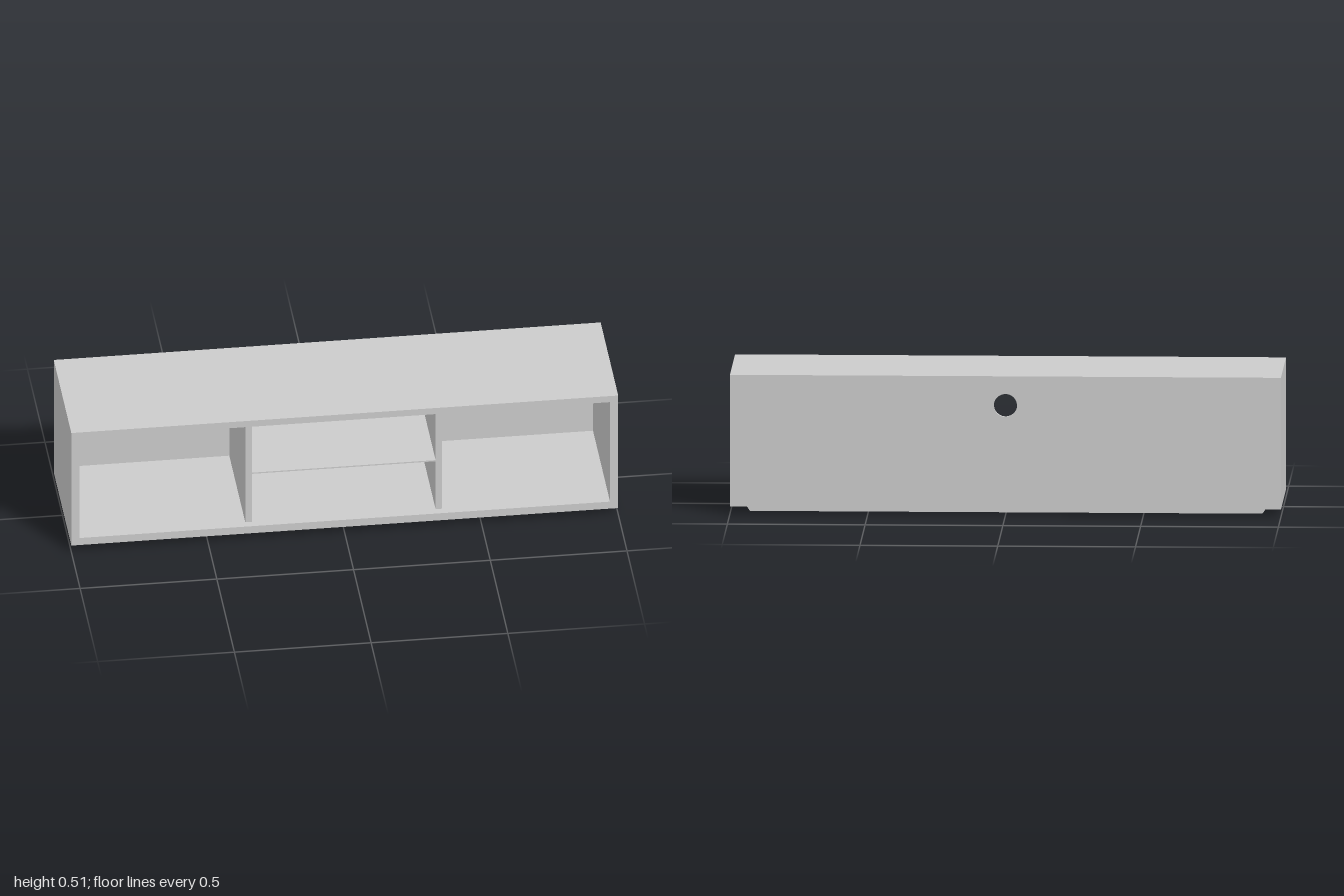
import * as THREE from 'three';

const material = new THREE.MeshStandardMaterial({ color: 0xcccccc });

function rectPath(path, x0, y0, x1, y1) {
  path.moveTo(x0, y0);
  path.lineTo(x1, y0);
  path.lineTo(x1, y1);
  path.lineTo(x0, y1);
  path.closePath();
  return path;
}

export function createModel() {
  const group = new THREE.Group();
  const bottom = 0.027, top = 0.51;          // outer carcass heights
  const inX = 0.97, inY0 = 0.057, inY1 = 0.484; // inner opening
  const front = 0.25, back = -0.25, backInner = -0.235, recess = 0.22;

  const add = (name, geometry, x = 0, y = 0, z = 0) => {
    const mesh = new THREE.Mesh(geometry, material);
    mesh.name = name;
    mesh.position.set(x, y, z);
    group.add(mesh);
  };
  const extrude = (shape, depth) =>
    new THREE.ExtrudeGeometry(shape, { depth, bevelEnabled: false, curveSegments: 24 });

  // Outer carcass: one rectangular tube, open at the front
  const frame = rectPath(new THREE.Shape(), -1, bottom, 1, top);
  frame.holes.push(rectPath(new THREE.Path(), -inX, inY0, inX, inY1));
  add('carcass', extrude(frame, front - back), 0, 0, back);

  // Back panel with round cable hole
  const panel = rectPath(new THREE.Shape(), -inX, inY0, inX, inY1);
  panel.holes.push(new THREE.Path().absarc(0, 0.403, 0.042, 0, Math.PI * 2, true));
  add('backPanel', extrude(panel, backInner - back), 0, 0, back);

  // Two upright dividers, set back from the front edge
  const depth = recess - backInner, midZ = (recess + backInner) / 2;
  for (const [name, side] of [['leftDivider', 1], ['rightDivider', -1]]) {
    add(name, new THREE.BoxGeometry(0.024, inY1 - inY0, depth),
      side * 0.348, (inY0 + inY1) / 2, midZ);
  }

  // Thin middle shelf
  add('shelf', new THREE.BoxGeometry(0.672, 0.005, depth), 0, 0.265, midZ);

  // Plinth with slanted ends
  const plinth = new THREE.Shape();
  plinth.moveTo(-0.93, 0);
  plinth.lineTo(0.93, 0);
  plinth.lineTo(0.948, bottom);
  plinth.lineTo(-0.948, bottom);
  plinth.closePath();
  add('plinth', extrude(plinth, 0.35), 0, 0, -0.175);

  return group;
}
